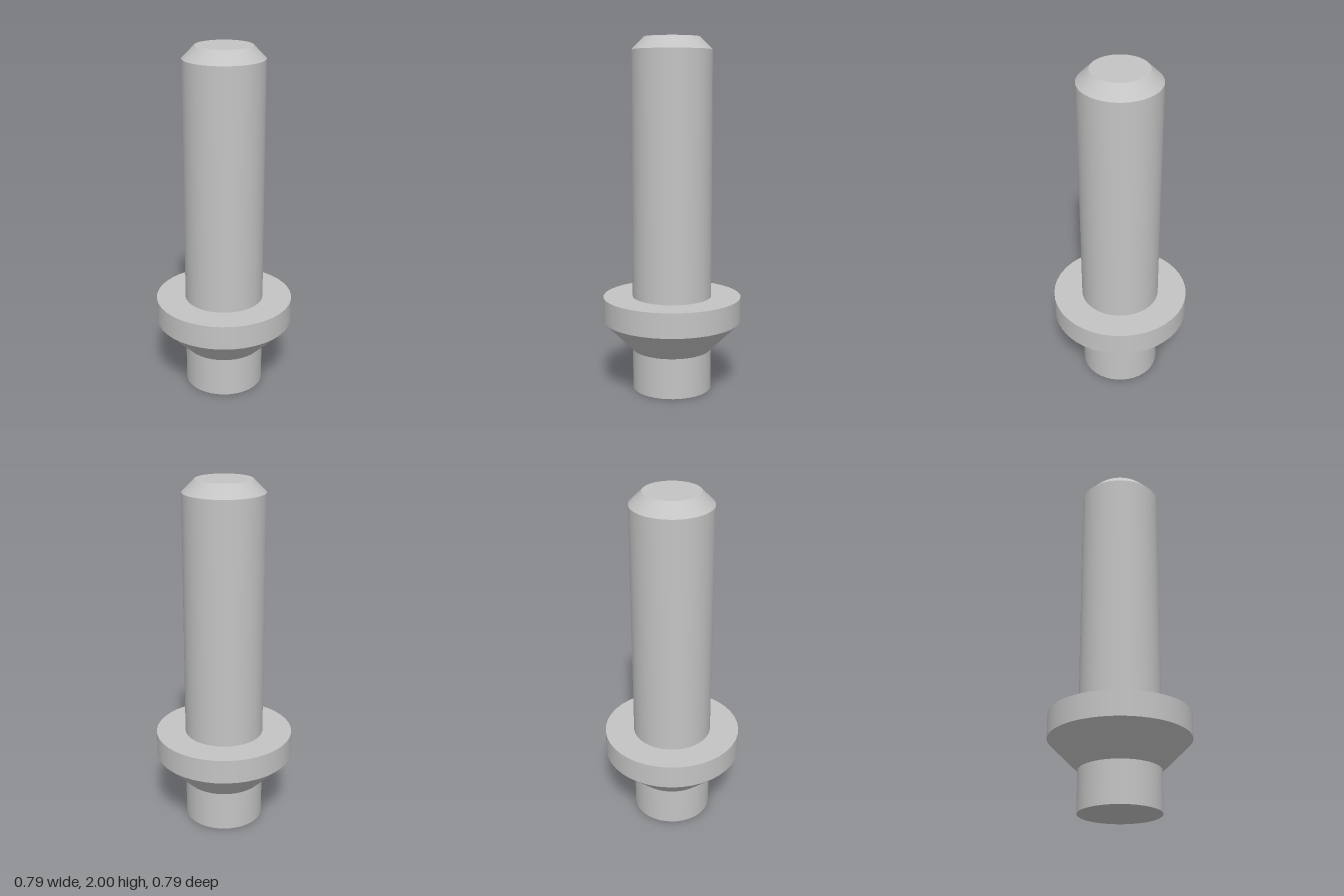
import * as THREE from 'three';

const SEGMENTS = 40;
const PIN = 0.226, FLANGE = 0.394, TIP = 0.156;

export function createModel() {
  const model = new THREE.Group();
  model.name = 'flangedPin';
  const steel = new THREE.MeshStandardMaterial({ color: 0xc4c4c4 });
  steel.name = 'steel grey';

  const add = (name, geometry) => {
    const mesh = new THREE.Mesh(geometry, steel);
    mesh.name = name;
    model.add(mesh);
  };

  // Open wall between two heights; every wall keeps crisp edges to its neighbours
  const wall = (name, y0, y1, r0, r1) =>
    add(name, new THREE.CylinderGeometry(r1, r0, y1 - y0, SEGMENTS, 1, true)
      .translate(0, (y0 + y1) / 2, 0));

  // Shaft and flange, from the bottom up
  wall('lowerShaft', 0, 0.232, PIN, PIN);
  wall('flangeCone', 0.232, 0.4, PIN, FLANGE);
  wall('flangeRim', 0.4, 0.54, FLANGE, FLANGE);
  wall('upperShaft', 0.54, 1.93, PIN, PIN);
  wall('tipChamfer', 1.93, 2, PIN, TIP);

  // Flat faces
  add('bottomFace', new THREE.CircleGeometry(PIN, SEGMENTS).rotateX(Math.PI / 2));
  add('flangeTop', new THREE.RingGeometry(PIN, FLANGE, SEGMENTS).rotateX(-Math.PI / 2).translate(0, 0.54, 0));
  add('tipFace', new THREE.CircleGeometry(TIP, SEGMENTS).rotateX(-Math.PI / 2).translate(0, 2, 0));

  return model;
}
